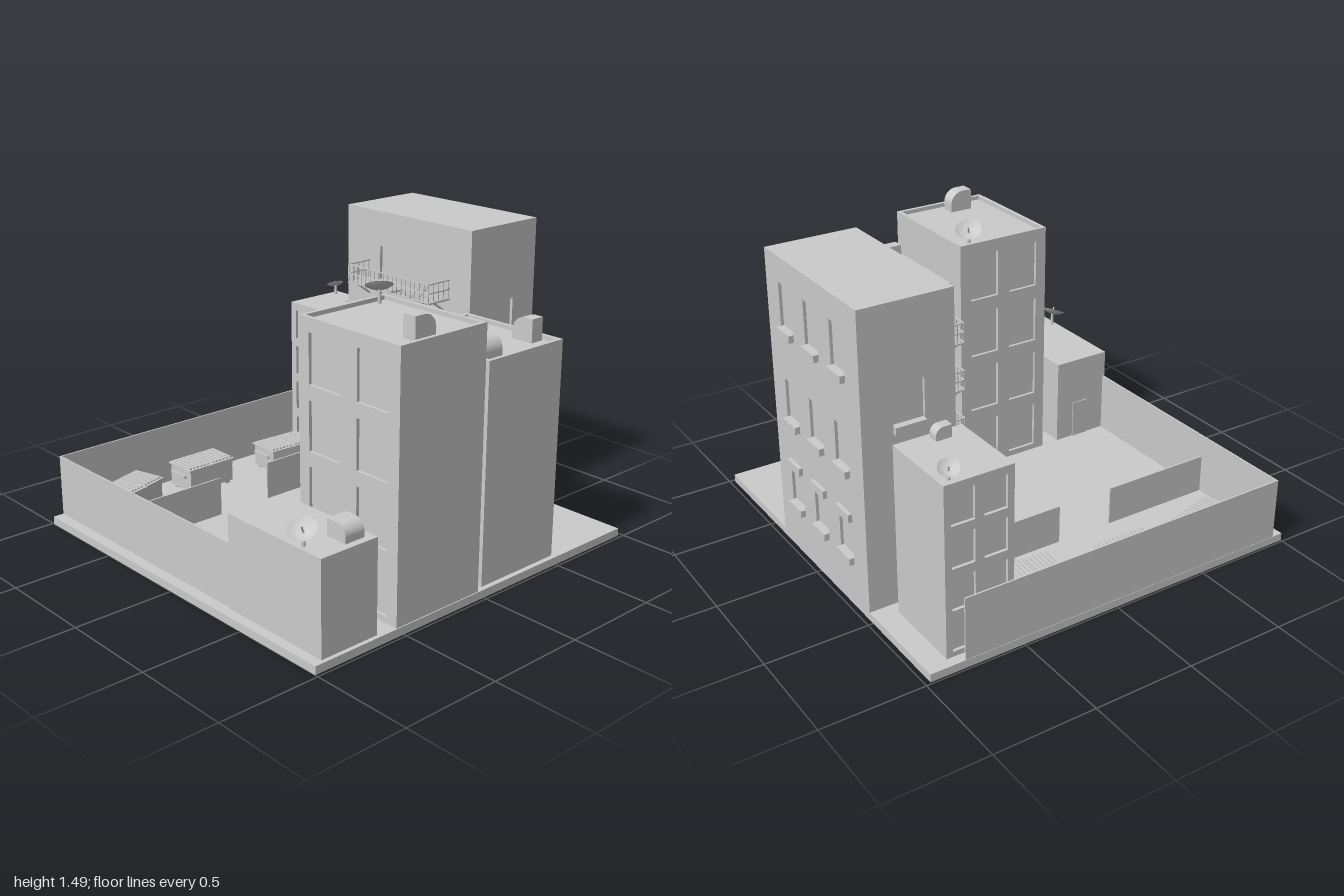
import * as THREE from 'three';

const GREY = new THREE.MeshStandardMaterial({ color: 0xcccccc });
const GREY2 = new THREE.MeshStandardMaterial({ color: 0xcccccc, side: THREE.DoubleSide });

function mesh(parent, name, geo, mat = GREY) {
  const m = new THREE.Mesh(geo, mat);
  m.name = name;
  parent.add(m);
  return m;
}

// box given by its min and max on each axis
function box(parent, name, x0, x1, y0, y1, z0, z1) {
  const m = mesh(parent, name, new THREE.BoxGeometry(x1 - x0, y1 - y0, z1 - z0));
  m.position.set((x0 + x1) / 2, (y0 + y1) / 2, (z0 + z1) / 2);
  return m;
}

// thin square bar between two points
function bar(parent, name, a, b, t = 0.006) {
  const p = new THREE.Vector3(...a), q = new THREE.Vector3(...b);
  const m = mesh(parent, name, new THREE.BoxGeometry(t, t, p.distanceTo(q)));
  m.position.copy(p).add(q).multiplyScalar(0.5);
  m.lookAt(q);
  return m;
}

function rect(path, x0, x1, y0, y1) {
  path.moveTo(x0, y0); path.lineTo(x1, y0); path.lineTo(x1, y1); path.lineTo(x0, y1);
  path.closePath();
  return path;
}

const G = 0.04;   // ground level
const D = 0.015;  // window recess

// wall with recessed openings; local x runs along the wall, z points outwards
function facade(parent, w, h, openings) {
  const g = new THREE.Group();
  g.name = 'facade';
  const s = rect(new THREE.Shape(), -w / 2, w / 2, G, h);
  for (const o of openings) {
    const a = o.u - o.w / 2, b = o.u + o.w / 2;
    s.holes.push(rect(new THREE.Path(), a, b, o.y, o.y + o.h));
    if (o.sill) box(g, 'windowSill', a, b, o.y - o.sill, o.y, -D, o.out ?? 0.02);
    if (o.head) box(g, 'windowHead', a, b, o.y + o.h, o.y + o.h + o.head, -D, 0.02);
  }
  const wall = mesh(g, 'wall', new THREE.ExtrudeGeometry(s, { depth: D, bevelEnabled: false }));
  wall.position.z = -D;
  parent.add(g);
  return g;
}

// sides: optional lists of openings for front, back, left (+x) and right (-x)
function building(parent, name, [x0, x1], [z0, z1], h, sides = {}, parapet = 0) {
  const g = new THREE.Group();
  g.name = name;
  parent.add(g);
  const d = (k) => (sides[k] ? D : 0);
  box(g, 'core', x0 + d('right'), x1 - d('left'), G, h - (parapet || 0.001), z0 + d('back'), z1 - d('front'));
  const cx = (x0 + x1) / 2, cz = (z0 + z1) / 2;
  const place = {
    front: [cx, z1, 0, x1 - x0], back: [cx, z0, Math.PI, x1 - x0],
    left: [x1, cz, Math.PI / 2, z1 - z0], right: [x0, cz, -Math.PI / 2, z1 - z0],
  };
  for (const k in sides) {
    const [x, z, r, w] = place[k];
    const f = facade(g, w, h, sides[k]);
    f.position.set(x, 0, z);
    f.rotation.y = r;
  }
  // roof edge, or a flat roof sheet
  const s = rect(new THREE.Shape(), x0, x1, -z1, -z0), t = 0.02;
  if (parapet) s.holes.push(rect(new THREE.Path(), x0 + t, x1 - t, -z1 + t, -z0 - t));
  const depth = parapet || 0.002;
  const rim = mesh(g, parapet ? 'parapet' : 'roof', new THREE.ExtrudeGeometry(s, { depth, bevelEnabled: false }));
  rim.rotation.x = -Math.PI / 2;
  rim.position.y = h - depth;
  return g;
}

// regular grid of windows
function grid(us, w, top, step, h, rows, extra = {}) {
  const out = [];
  for (let i = 0; i < rows; i++) for (const u of us) out.push({ u, w, h, y: top - step * i - h, ...extra });
  return out;
}

// roof vent hood with one rounded shoulder towards local +x
function vent(parent, x, y, z, w, h, d, turn = 0) {
  const r = Math.min(w, h) * 0.65, s = new THREE.Shape();
  s.moveTo(-w / 2, 0); s.lineTo(w / 2, 0); s.lineTo(w / 2, h - r);
  s.absarc(w / 2 - r, h - r, r, 0, Math.PI / 2, false);
  s.lineTo(-w / 2, h);
  const geo = new THREE.ExtrudeGeometry(s, { depth: d, bevelEnabled: false, curveSegments: 12 });
  geo.translate(0, 0, -d / 2);
  const m = mesh(parent, 'roofVent', geo);
  m.position.set(x, y, z);
  m.rotation.y = turn;
}

// dish on a post, leaning towards (dx, dz)
function dish(parent, x, y, z, r, dx, dz) {
  const g = new THREE.Group();
  g.name = 'satelliteDish';
  g.position.set(x, y, z);
  const post = mesh(g, 'dishPost', new THREE.CylinderGeometry(0.007, 0.009, r, 8));
  post.position.y = r / 2;
  const head = new THREE.Group();
  head.name = 'dishHead';
  head.position.y = r * 0.95;
  const pts = [];
  for (let i = 0; i <= 6; i++) pts.push(new THREE.Vector2(r * i / 6, r * 0.35 * (i / 6) ** 2));
  mesh(head, 'dishBowl', new THREE.LatheGeometry(pts, 24), GREY2);
  const feed = mesh(head, 'dishFeed', new THREE.CylinderGeometry(0.004, 0.004, r * 0.6, 6));
  feed.position.y = r * 0.3;
  head.quaternion.setFromUnitVectors(new THREE.Vector3(0, 1, 0), new THREE.Vector3(dx, 1, dz).normalize());
  g.add(head);
  parent.add(g);
}

// waste container with two ribbed lids
function dumpster(parent, x, z, turn) {
  const g = new THREE.Group();
  g.name = 'dumpster';
  box(g, 'bin', -0.135, 0.135, 0.015, 0.13, -0.085, 0.085);
  for (const s of [-1, 1]) {
    box(g, 'lid', s > 0 ? 0.004 : -0.145, s > 0 ? 0.145 : -0.004, 0.13, 0.138, -0.092, 0.092);
    box(g, 'sideHandle', s * 0.15 - 0.006, s * 0.15 + 0.006, 0.09, 0.105, -0.06, 0.06);
    for (let i = 0; i < 6; i++) box(g, 'lidRib', s * (0.018 + i * 0.022) - 0.006, s * (0.018 + i * 0.022) + 0.006, 0.138, 0.146, -0.08, 0.08);
    for (const e of [-1, 1]) box(g, 'foot', s * 0.11 - 0.015, s * 0.11 + 0.015, 0, 0.015, e * 0.065 - 0.012, e * 0.065 + 0.012);
  }
  g.position.set(x, G, z);
  g.rotation.y = turn;
  parent.add(g);
}

const LEVELS = [0.21, 0.44, 0.675, 0.91, 1.14];

function fireEscape(parent) {
  const g = new THREE.Group();
  g.name = 'fireEscape';
  parent.add(g);
  const X0 = 0.37, X1 = 0.515, Z0 = -0.31, Z1 = 0.245, H = 0.09, S0 = -0.03, S1 = 0.18;
  LEVELS.forEach((y, k) => {
    // grating, left open over the stairs
    for (let i = 0; i <= 8; i++) {
      const x = X0 + (X1 - X0) * i / 8;
      if (k > 0 && i > 0 && x < 0.45) {
        bar(g, 'slat', [x, y, Z0], [x, y, S0]);
        bar(g, 'slat', [x, y, S1], [x, y, Z1]);
      } else bar(g, 'slat', [x, y, Z0], [x, y, Z1]);
    }
    for (const z of [Z0, -0.19, S0, S1, Z1]) bar(g, 'joist', [X0, y - 0.005, z], [X1, y - 0.005, z], 0.008);
    // railing on the outer side and both ends
    for (const t of [0.5, 1]) {
      bar(g, 'rail', [X0, y + H * t, Z0], [X0, y + H * t, Z1]);
      for (const z of [Z0, Z1]) bar(g, 'rail', [X0, y + H * t, z], [X1, y + H * t, z]);
    }
    for (let i = 0; i <= 18; i++) {
      const z = Z0 + (Z1 - Z0) * i / 18;
      bar(g, 'baluster', [X0, y, z], [X0, y + H, z], 0.004);
    }
    for (const z of [Z0, Z1]) {
      for (let i = 1; i <= 4; i++) bar(g, 'baluster', [X0 + i * 0.034, y, z], [X0 + i * 0.034, y + H, z], 0.004);
      bar(g, 'bracket', [X0 + 0.03, y, z], [X1, y - 0.08, z], 0.008);
    }
    // flight up to the next platform
    if (k === LEVELS.length - 1) return;
    const y1 = LEVELS[k + 1];
    for (const x of [0.38, 0.45]) {
      bar(g, 'stringer', [x, y, S0], [x, y1, S1], 0.01);
      bar(g, 'handrail', [x, y + 0.07, S0], [x, y1 + 0.07, S1], 0.005);
    }
    for (let i = 1; i < 10; i++) {
      const z = S0 + (S1 - S0) * i / 10, ty = y + (y1 - y) * i / 10;
      box(g, 'tread', 0.38, 0.45, ty - 0.003, ty + 0.003, z - 0.011, z + 0.011);
    }
  });
}

export function createModel() {
  const root = new THREE.Group();
  root.name = 'cityBlock';
  box(root, 'ground', -1, 0.975, 0, G, -0.99, 0.985);

  // tall tower
  const ends = [0.925, 0.475].map((y) => ({ u: 0, w: 0.155, y, h: 0.19, sill: 0.035 }));
  const long = [];
  for (const u of [-0.24, 0, 0.24]) {
    long.push({ u, w: 0.125, y: 1.155, h: 0.21, sill: 0.035, out: 0.025 },
      { u, w: 0.125, y: 0.7, h: 0.195, sill: 0.035, out: 0.025 },
      { u, w: 0.125, y: 0.26, h: 0.185, sill: 0.035, head: 0.04, out: 0.025 });
  }
  const doors = LEVELS.map((y) => ({ u: -0.125, w: 0.13, y: y + 0.005, h: 0.17 }));
  building(root, 'tallTower', [0.515, 0.975], [-0.47, 0.38], 1.49, { front: ends, back: ends, left: long, right: doors });
  fireEscape(root);

  // front middle tower
  building(root, 'middleTower', [-0.54, -0.035], [0.365, 0.98], 1.285, {
    back: grid([-0.115, 0.115], 0.16, 1.22, 0.305, 0.235, 4),
    right: grid([-0.15, 0.15], 0.19, 1.22, 0.305, 0.235, 4),
  }, 0.02);
  vent(root, -0.35, 1.265, 0.895, 0.12, 0.105, 0.07);
  dish(root, -0.115, 1.265, 0.415, 0.065, 0.35, -0.45);

  // front block with a wall panel
  building(root, 'panelBlock', [0.01, 0.495], [0.385, 0.96], 1.1, {
    back: grid([-0.15, 0, 0.15], 0.11, 1.03, 0.205, 0.15, 5, { sill: 0.015, out: 0.01 }),
  }, 0.02);
  box(root, 'wallPanel', 0.495, 0.51, 0.79, 1.085, 0.42, 0.945);
  box(root, 'windowUnit', 0.335, 0.43, 0.47, 0.53, 0.355, 0.39);
  vent(root, 0.1, 1.08, 0.853, 0.105, 0.095, 0.105, -Math.PI / 2);
  vent(root, 0.425, 1.08, 0.812, 0.115, 0.11, 0.07, Math.PI / 2);

  // low corner house
  building(root, 'lowHouse', [-0.95, -0.64], [0.37, 0.965], 0.49);
  box(root, 'houseDoor', -0.835, -0.74, G, 0.24, 0.365, 0.38);
  vent(root, -0.735, 0.49, 0.875, 0.11, 0.08, 0.105, -Math.PI / 2);
  dish(root, -0.925, 0.49, 0.83, 0.065, -0.5, 0.25);

  // rear block
  building(root, 'rearBlock', [0.525, 0.865], [-0.94, -0.535], 0.88, {
    back: grid([-0.08, 0.08], 0.115, 0.84, 0.205, 0.16, 4),
    right: grid([-0.095, 0.095], 0.14, 0.84, 0.205, 0.16, 4),
  });
  vent(root, 0.66, 0.88, -0.585, 0.08, 0.06, 0.05);
  dish(root, 0.82, 0.88, -0.905, 0.047, 0.2, -0.5);

  // yard walls, the inner one with a gateway
  box(root, 'rearWall', -0.945, 0.8, G, 0.35, -0.988, -0.98);
  box(root, 'sideWall', -0.945, -0.937, G, 0.35, -0.98, 0.37);
  box(root, 'innerWall', -0.937, -0.36, G, 0.235, -0.46, -0.452);
  box(root, 'innerWall', -0.06, 0.515, G, 0.235, -0.46, -0.452);

  dumpster(root, -0.65, -0.81, 0.28);
  dumpster(root, -0.195, -0.83, 0);
  dumpster(root, 0.3, -0.745, -0.06);
  return root;
}
